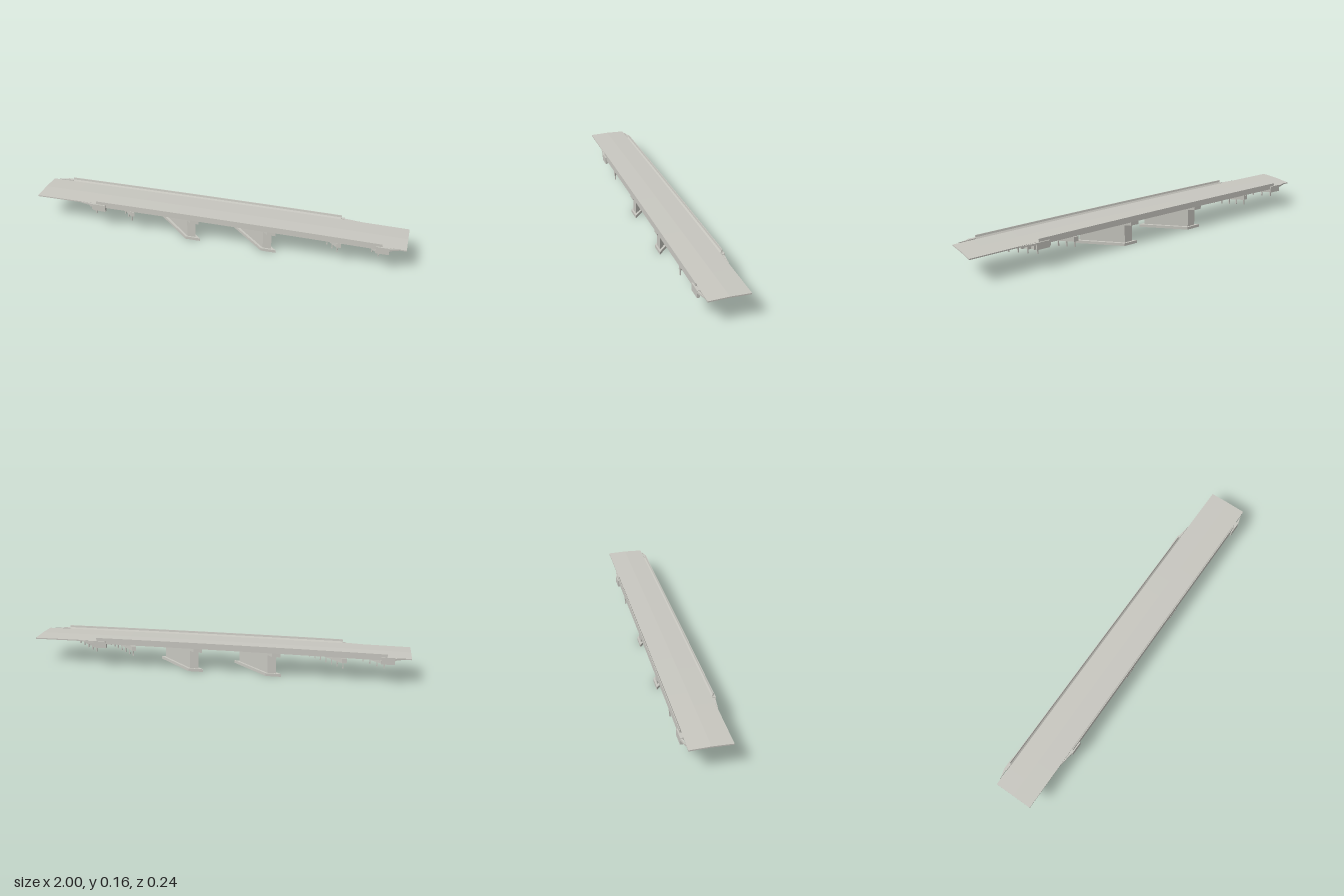
import * as THREE from 'three';

const SKEW = 1.06; // x shift per unit z
const camber = (x) => 0.005 * (1 - x * x);

export function createModel() {
  const bridge = new THREE.Group();
  bridge.name = 'skewedBridge';
  const concrete = new THREE.MeshStandardMaterial({ color: 0xc8c7c0 });
  concrete.name = 'pale concrete';

  function add(name, geo, parent = bridge) {
    const mesh = new THREE.Mesh(geo, concrete);
    mesh.name = name;
    parent.add(mesh);
    return mesh;
  }
  // Move every vertex by a rule and rebuild flat normals
  function reshape(geo, rule) {
    const g = geo.index ? geo.toNonIndexed() : geo;
    const p = g.attributes.position;
    const v = new THREE.Vector3();
    for (let i = 0; i < p.count; i++) {
      v.fromBufferAttribute(p, i);
      rule(v);
      p.setXYZ(i, v.x, v.y, v.z);
    }
    g.computeVertexNormals();
    return g;
  }
  function block(x0, x1, y0, y1, z0, z1) {
    return new THREE.BoxGeometry(x1 - x0, y1 - y0, z1 - z0)
      .translate((x0 + x1) / 2, (y0 + y1) / 2, (z0 + z1) / 2);
  }
  // Wall or beam laid along the skew line through x = cx
  function skewBlock(cx, width, y0, y1, halfZ) {
    return reshape(block(cx - width / 2, cx + width / 2, y0, y1, -halfZ, halfZ),
      (v) => { v.x += v.z * SKEW; });
  }

  // Road deck with a crown across and a camber along its length
  add('roadDeck', reshape(
    new THREE.BoxGeometry(2, 0.006, 0.204, 20, 1, 4).translate(0, 0.138, 0),
    (v) => { v.y += camber(v.x) + 0.003 * (1 - Math.abs(v.z) / 0.102); }));

  // Slab and longitudinal girders under the main spans
  add('spanSlab', reshape(
    new THREE.BoxGeometry(1.5, 0.006, 0.2, 20, 1, 1).translate(0, 0.134, 0),
    (v) => { v.x += v.z * SKEW; v.y += camber(v.x); }));
  const girders = new THREE.Group();
  girders.name = 'girders';
  bridge.add(girders);
  for (let i = 0; i < 7; i++) {
    const z = (i - 3) * 0.03;
    add('girder', reshape(
      new THREE.BoxGeometry(1.5, 0.012, 0.007, 16, 1, 1).translate(z * SKEW, 0.127, z),
      (v) => { v.y += camber(v.x); }), girders);
  }

  // Piers: footing, wall and cap
  for (const cx of [-0.207, 0.207]) {
    const pier = new THREE.Group();
    pier.name = 'pier';
    bridge.add(pier);
    add('footing', skewBlock(cx, 0.08, 0, 0.015, 0.092), pier);
    add('pierWall', skewBlock(cx, 0.045, 0.015, 0.112, 0.083), pier);
    add('pierCap', skewBlock(cx, 0.045, 0.111, 0.13, 0.106), pier);
  }

  // Row of piles below a skewed cap
  function pileRow(cx, y0, y1, count, halfZ, parent) {
    for (let i = 0; i < count; i++) {
      const z = -halfZ + (2 * halfZ * i) / (count - 1);
      const x = cx + z * SKEW;
      add('pile', block(x - 0.003, x + 0.003, y0, y1, z - 0.003, z + 0.003), parent);
    }
  }

  // Half a bridge end group, used twice by turning it half way round
  for (const turn of [0, Math.PI]) {
    const end = new THREE.Group();
    end.name = 'bridgeEnd';
    end.rotation.y = turn;
    bridge.add(end);

    // Pile bent
    add('bentCap', skewBlock(-0.555, 0.024, 0.1, 0.125, 0.106), end);
    pileRow(-0.555, 0.07, 0.101, 8, 0.1, end);

    // Abutment: seat, stepped back wall and piles
    add('abutmentSeat', skewBlock(-0.755, 0.04, 0.11, 0.124, 0.108), end);
    const steps = 10;
    for (let i = 0; i < steps; i++) {
      const z0 = -0.11 + 0.022 * i;
      const x = -0.765 + (z0 + 0.011) * SKEW;
      add('backWallStep', block(x - 0.016, x + 0.014, 0.11, 0.137, z0, z0 + 0.022), end);
    }
    pileRow(-0.76, 0.082, 0.111, 7, 0.1, end);

    // Wing blocks with flared tails beside the approach
    for (const [x0, x1, tail, side] of [[-0.665, -0.595, -0.745, 1], [-0.918, -0.85, -0.97, -1]]) {
      const za = side > 0 ? 0.103 : -0.118;
      add('wingBlock', block(x0, x1, 0.109, 0.146, za, za + 0.015), end);
      add('wingTail', reshape(block(tail, x0, 0.132, 0.143, za, za + 0.011), (v) => {
        if (v.x < x0 - 0.001) {
          v.z = side * Math.min(Math.abs(v.z), 0.104);
          v.y = Math.max(v.y, 0.137);
        }
      }), end);
    }

    // Sloped parapet along the front edge
    const profile = new THREE.Shape([
      [0.1, 0.127], [0.112, 0.127], [0.111, 0.159], [0.108, 0.159], [0.106, 0.149], [0.1, 0.141],
    ].map(([z, y]) => new THREE.Vector2(-z, y)));
    const rail = new THREE.ExtrudeGeometry(profile, { depth: 1.53, steps: 16, bevelEnabled: false });
    rail.rotateY(Math.PI / 2).translate(-0.65, 0, 0);
    add('parapet', reshape(rail, (v) => { v.y += camber(v.x); }), end);
  }
  return bridge;
}
